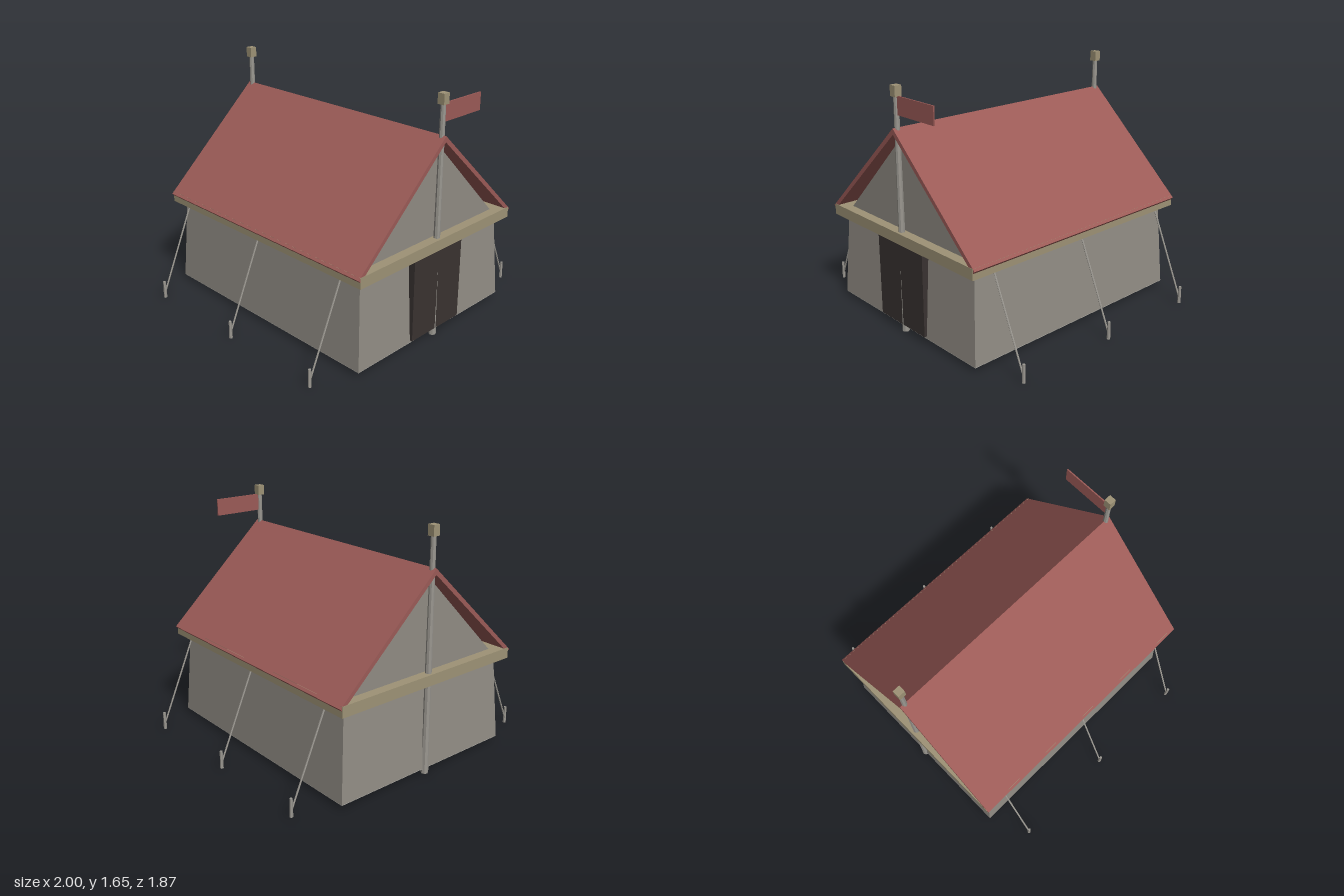
import * as THREE from 'three';

const mat = (name, color) => {
  const m = new THREE.MeshStandardMaterial({ color, flatShading: true });
  m.name = name;
  return m;
};

export function createModel() {
  const canvas = mat('canvas', 0x918c84);
  const red = mat('redCloth', 0x9c5b57);
  const trim = mat('tanTrim', 0x9e9376);
  const dark = mat('doorway', 0x3a3331);
  const wood = mat('greyWood', 0x9a9790);
  const ground = mat('groundsheet', 0xb4b2aa);

  const tent = new THREE.Group();
  tent.name = 'tent';
  const add = (name, geometry, material, x = 0, y = 0, z = 0) => {
    const mesh = new THREE.Mesh(geometry, material);
    mesh.name = name;
    mesh.position.set(x, y, z);
    tent.add(mesh);
    return mesh;
  };
  const box = (name, material, w, h, d, x, y, z) =>
    add(name, new THREE.BoxGeometry(w, h, d), material, x, y, z);
  // Outline in x and y, extruded evenly about z = 0
  const prism = (name, material, points, depth) => {
    const shape = new THREE.Shape(points.map(([x, y]) => new THREE.Vector2(x, y)));
    const geometry = new THREE.ExtrudeGeometry(shape, { depth, bevelEnabled: false });
    geometry.translate(0, 0, -depth / 2);
    return add(name, geometry, material);
  };
  // Straight rod between two points
  const rod = (name, a, b, radius) => {
    const dir = b.clone().sub(a);
    const mesh = add(name, new THREE.CylinderGeometry(radius, radius, dir.length(), 6), wood);
    mesh.position.copy(a).add(b).multiplyScalar(0.5);
    mesh.quaternion.setFromUnitVectors(new THREE.Vector3(0, 1, 0), dir.normalize());
  };

  // Walls lean inward towards the top
  const walls = new THREE.BoxGeometry(1.43, 0.63, 1.81);
  const p = walls.attributes.position;
  for (let i = 0; i < p.count; i++) {
    if (p.getY(i) > 0) {
      p.setX(i, Math.sign(p.getX(i)) * 0.672);
      p.setZ(i, Math.sign(p.getZ(i)) * 0.868);
    }
  }
  walls.computeVertexNormals();
  add('walls', walls, canvas, 0, 0.35, 0);
  box('groundsheet', ground, 1.428, 0.004, 1.808, 0, 0.033, 0);

  // Upper canvas filling both gables
  prism('gables', canvas, [[-0.63, 0.69], [0.63, 0.69], [0.05, 1.275], [-0.05, 1.275]], 1.74);

  // Valance band, doorway and pitched roof
  box('valance', trim, 1.48, 0.075, 1.874, 0, 0.667, 0);
  box('door', dark, 0.47, 0.6, 0.062, 0, 0.35, 0.8915);
  prism('roof', red, [
    [0, 1.39], [-0.755, 0.69], [-0.737, 0.67], [0, 1.35], [0.737, 0.67], [0.755, 0.69],
  ], 1.87);

  // End poles with square caps
  for (const z of [0.9, -0.9]) {
    add('pole', new THREE.CylinderGeometry(0.017, 0.025, 1.6, 8), wood, 0, 0.8, z);
    box('poleCap', trim, 0.05, 0.07, 0.05, 0, 1.62, z);
  }
  box('flag', red, 0.36, 0.12, 0.009, 0.192, 1.53, 0.9);

  // Guy ropes and stakes
  for (const side of [1, -1]) {
    for (const z of [-0.763, 0, 0.763]) {
      rod('guyRope', new THREE.Vector3(side * 0.725, 0.64, z),
        new THREE.Vector3(side * 0.985, 0.045, z), 0.006);
      add('stake', new THREE.CylinderGeometry(0.01, 0.012, 0.125, 6), wood, side * 0.988, 0.0625, z);
    }
  }
  return tent;
}
